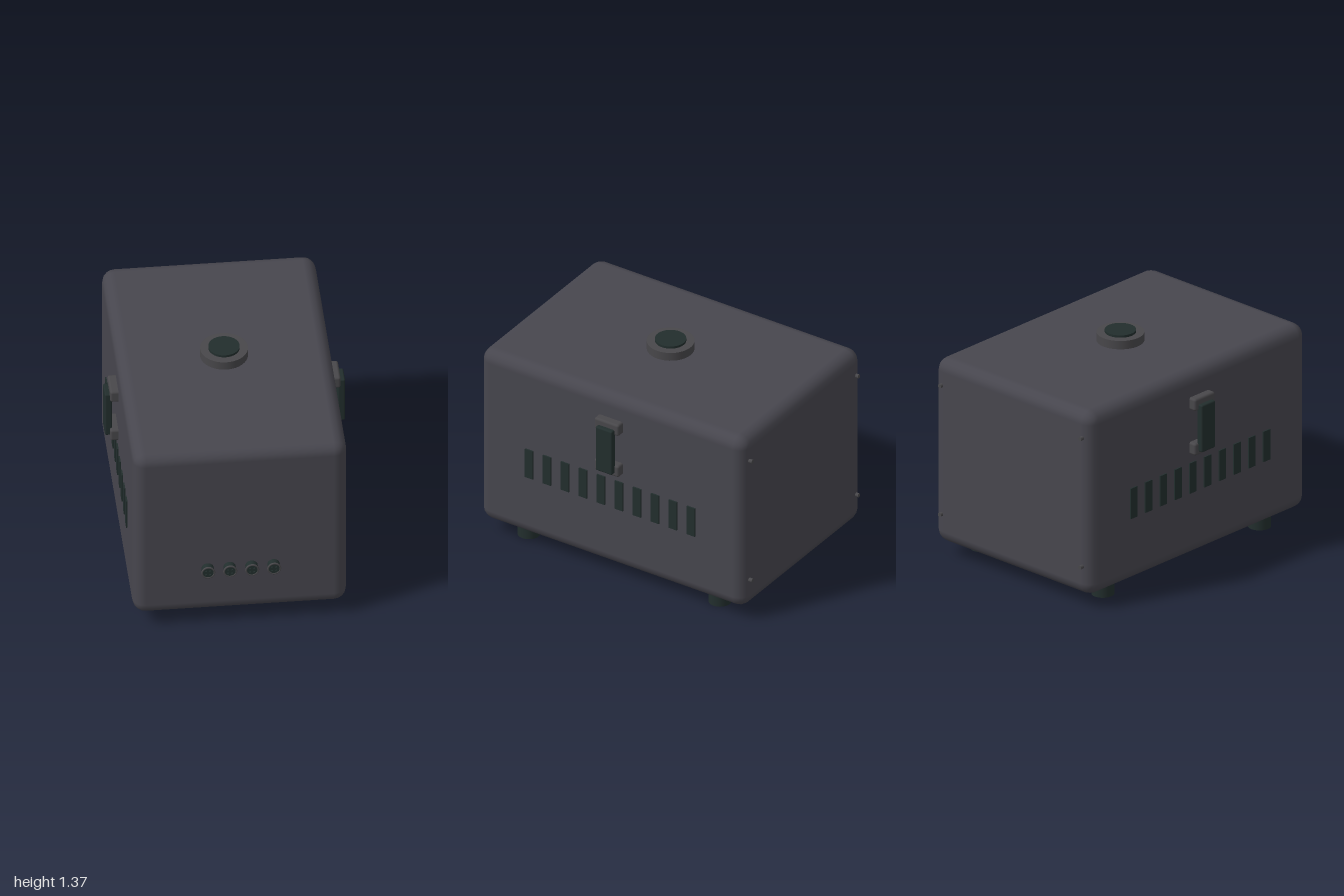
import * as THREE from 'three';
import { RoundedBoxGeometry } from 'three/addons/geometries/RoundedBoxGeometry.js';

const casing = new THREE.MeshStandardMaterial({ name: 'casingGrey', color: 0x47464e });
const trim = new THREE.MeshStandardMaterial({ name: 'trimGrey', color: 0x48474a });
const rubber = new THREE.MeshStandardMaterial({ name: 'darkRubber', color: 0x222e2d });

function add(parent, name, geometry, material, x, y, z) {
  const mesh = new THREE.Mesh(geometry, material);
  mesh.name = name;
  mesh.position.set(x, y, z);
  parent.add(mesh);
  return mesh;
}

// Cylinder whose axis runs along z
const zCylinder = (r0, r1, depth, sides = 24) =>
  new THREE.CylinderGeometry(r1, r0, depth, sides).rotateX(Math.PI / 2);

export function createModel() {
  const model = new THREE.Group();
  model.name = 'equipmentBox';

  // Casing with softened edges
  add(model, 'body', new RoundedBoxGeometry(1.3, 1.21, 1.92, 2, 0.08), casing, 0, 0.695, -0.02);

  // Feet
  const foot = new THREE.CylinderGeometry(0.07, 0.07, 0.1, 32);
  for (const x of [-0.5, 0.5]) {
    for (const z of [0.675, -0.71]) add(model, 'foot', foot, rubber, x, 0.05, z);
  }

  // Round cap on top
  add(model, 'capBase', new THREE.CylinderGeometry(0.145, 0.145, 0.06, 48), trim, 0, 1.325, -0.02);
  add(model, 'capPad', new THREE.CylinderGeometry(0.095, 0.095, 0.02, 48), rubber, 0, 1.36, -0.02);

  // Carrying handles and vent slots on both sides
  const mount = new RoundedBoxGeometry(0.09, 0.08, 0.178, 2, 0.015);
  const grip = new RoundedBoxGeometry(0.045, 0.31, 0.12, 2, 0.01);
  const slot = new THREE.BoxGeometry(0.02, 0.2, 0.058);
  for (const side of [-1, 1]) {
    const handle = new THREE.Group();
    handle.name = side > 0 ? 'leftHandle' : 'rightHandle';
    for (const y of [0.807, 1.1]) add(handle, 'handleMount', mount, trim, side * 0.655, y, -0.017);
    add(handle, 'handleGrip', grip, rubber, side * 0.707, 0.945, -0.017);
    model.add(handle);

    const vents = new THREE.Group();
    vents.name = side > 0 ? 'leftVents' : 'rightVents';
    for (let i = 0; i < 10; i++) {
      add(vents, 'ventSlot', slot, rubber, side * 0.649, 0.61, 0.571 - i * 0.1304);
    }
    model.add(vents);
  }

  // Front sockets: barrel, rim, recessed face and four pins
  const barrel = zCylinder(0.038, 0.038, 0.052);
  const rim = new THREE.TorusGeometry(0.037, 0.006, 8, 32);
  const pin = zCylinder(0.006, 0.006, 0.012, 10);
  for (let i = 0; i < 4; i++) {
    const socket = new THREE.Group();
    socket.name = 'socket';
    socket.position.set(-0.2 + i * 0.1335, 0.427, 0);
    add(socket, 'socketBarrel', barrel, rubber, 0, 0, 0.961);
    add(socket, 'socketRim', rim, trim, 0, 0, 0.984);
    for (let k = 0; k < 4; k++) {
      const a = (k + 0.5) * Math.PI / 2;
      add(socket, 'socketPin', pin, rubber, 0.018 * Math.cos(a), 0.018 * Math.sin(a), 0.992);
    }
    model.add(socket);
  }

  // Rear panel screws
  const screw = zCylinder(0.013, 0.013, 0.03, 16);
  for (const x of [-0.58, 0.58]) {
    for (const y of [0.285, 1.133]) add(model, 'rearScrew', screw, trim, x, y, -0.985);
  }

  return model;
}
